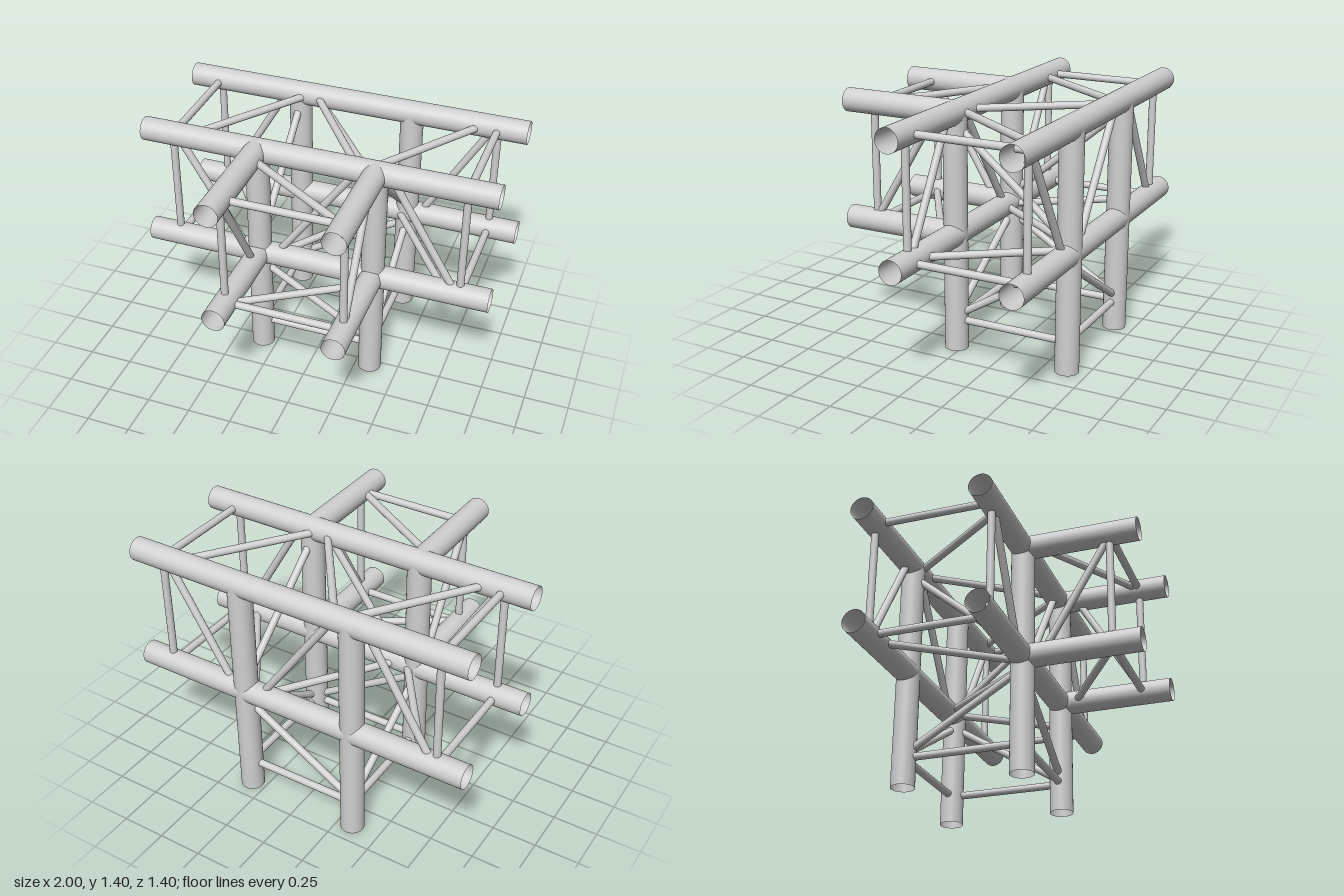
import * as THREE from 'three';

// Tube axes: x = +-X, y = LOW / HIGH, z = FRONT / BACK
const X = 0.335, LOW = 0.666, HIGH = 1.337, FRONT = 0.035, BACK = -0.634;
const MAIN_R = 0.066, BRACE_R = 0.021;

export function createModel() {
  const group = new THREE.Group();
  // Double sided because every tube is an open pipe
  const aluminium = new THREE.MeshStandardMaterial({ color: 0xd0d0d0, side: THREE.DoubleSide });
  aluminium.name = 'aluminium grey';
  const up = new THREE.Vector3(0, 1, 0);

  // Open-ended pipe between two points
  function pipe(name, a, b, radius, sides) {
    const p = new THREE.Vector3(...a), q = new THREE.Vector3(...b);
    const dir = q.clone().sub(p);
    const geo = new THREE.CylinderGeometry(radius, radius, dir.length(), sides, 1, true);
    const mesh = new THREE.Mesh(geo, aluminium);
    mesh.name = name;
    mesh.position.copy(p).add(q).multiplyScalar(0.5);
    mesh.quaternion.setFromUnitVectors(up, dir.normalize());
    group.add(mesh);
  }
  const chord = (name, a, b) => pipe(name, a, b, MAIN_R, 40);
  const brace = (name, a, b) => pipe(name, a, b, BRACE_R, 20);

  // Closed square of four braces
  function frame(name, corners) {
    corners.forEach((c, i) => brace(name, c, corners[(i + 1) % 4]));
  }

  // Main chords: long cross tubes, front arm tubes and legs
  for (const y of [LOW, HIGH]) {
    for (const z of [FRONT, BACK]) chord('crossTube', [-1, y, z], [1, y, z]);
    for (const x of [-X, X]) chord('frontArmTube', [x, y, FRONT], [x, y, 0.7]);
  }
  for (const x of [-X, X]) {
    for (const z of [FRONT, BACK]) chord('leg', [x, 0, z], [x, HIGH, z]);
  }

  // Square end frames of the four arms
  for (const x of [-0.83, 0.83]) {
    frame('sideArmEndFrame', [[x, LOW, FRONT], [x, HIGH, FRONT], [x, HIGH, BACK], [x, LOW, BACK]]);
  }
  frame('frontArmEndFrame', [[-X, LOW, 0.534], [-X, HIGH, 0.534], [X, HIGH, 0.534], [X, LOW, 0.534]]);
  frame('legFrame', [[-X, 0.17, FRONT], [X, 0.17, FRONT], [X, 0.17, BACK], [-X, 0.17, BACK]]);

  // Diagonals on the front and back faces (s mirrors the slope at the back)
  for (const [z, s] of [[FRONT, 1], [BACK, -1]]) {
    for (const mid of [-0.61, 0.61]) {
      brace('sideArmDiagonal', [mid - 0.198 * s, HIGH, z], [mid + 0.198 * s, LOW, z]);
    }
    brace('centreDiagonal', [0.24 * s, HIGH, z], [-0.24 * s, LOW, z]);
    brace('legDiagonal', [-X * s, 0.6, z], [X * s, 0.19, z]);
  }

  // Diagonals on the top and bottom faces
  for (const [y, s] of [[HIGH, 1], [LOW, -1]]) {
    for (const mid of [-0.51, 0.51]) {
      brace('sideArmFlatDiagonal', [mid - 0.237 * s, y, FRONT], [mid + 0.237 * s, y, BACK]);
    }
    brace('centreFlatDiagonal', [-0.24 * s, y, BACK], [0.24 * s, y, FRONT]);
    brace('frontArmFlatDiagonal', [-X * s, y, 0.125], [X * s, y, 0.545]);
  }

  // Diagonals on the left and right faces
  const midZ = (FRONT + BACK) / 2, halfZ = (FRONT - BACK) / 2;
  for (const [x, s] of [[X, 1], [-X, -1]]) {
    brace('frontArmDiagonal', [x, HIGH, 0.343 - 0.2 * s], [x, LOW, 0.343 + 0.2 * s]);
    brace('centreSideDiagonal', [x, 1.28, midZ + halfZ * s], [x, 0.715, midZ - halfZ * s]);
    brace('legSideDiagonal', [x, 0.19, midZ + halfZ * s], [x, 0.6, midZ - halfZ * s]);
  }

  return group;
}
